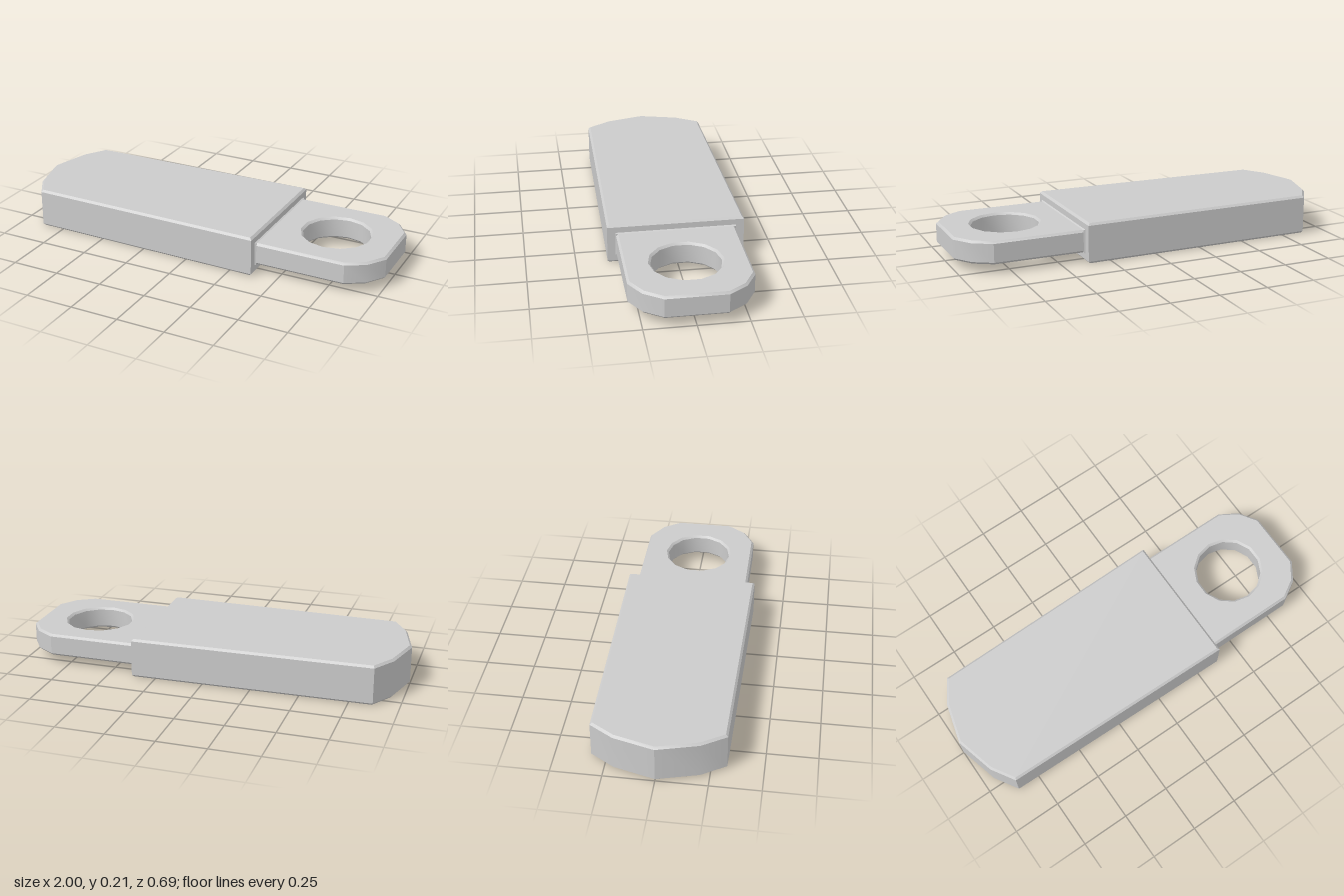
import * as THREE from 'three';
import { toCreasedNormals } from 'three/addons/utils/BufferGeometryUtils.js';

const material = new THREE.MeshStandardMaterial({ color: 0xcccccc });

// Full outline from one half, mirrored across the long axis
function mirroredShape(half) {
  const other = half.filter(([, z]) => z !== 0).map(([x, z]) => [x, -z]).reverse();
  return new THREE.Shape([...half, ...other].map(([x, z]) => new THREE.Vector2(x, z)));
}

// Flat chamfered plate lying between two heights
function plate(name, shape, y0, y1, chamfer) {
  const geometry = new THREE.ExtrudeGeometry(shape, {
    depth: y1 - y0 - 2 * chamfer,
    bevelThickness: chamfer,
    bevelSize: chamfer,
    bevelOffset: -chamfer,
    bevelSegments: 1,
  });
  geometry.rotateX(-Math.PI / 2).translate(0, y0 + chamfer, 0);
  const mesh = new THREE.Mesh(toCreasedNormals(geometry, 0.5), material);
  mesh.name = name;
  return mesh;
}

export function createModel() {
  const group = new THREE.Group();
  group.name = 'keyTag';

  // Tapered body with a faceted rounded end
  const body = mirroredShape([
    [-1, 0], [-0.945, -0.205], [-0.87, -0.325], [0.372, -0.344],
  ]);
  group.add(plate('body', body, 0, 0.206, 0.011));

  // Thinner tab with a 14-sided hole
  const tab = mirroredShape([
    [0.3, -0.3], [0.84, -0.3], [0.935, -0.243], [0.998, -0.15],
  ]);
  const hole = new THREE.Path();
  const sides = 14;
  hole.setFromPoints(Array.from({ length: sides }, (_, i) => {
    const a = Math.PI / 2 - (i / sides) * Math.PI * 2;
    return new THREE.Vector2(0.685 + 0.172 * Math.cos(a), 0.172 * Math.sin(a));
  }));
  tab.holes.push(hole);
  group.add(plate('tab', tab, 0.046, 0.162, 0.011));

  // Small flared collar where the tab enters the body
  const collarGeometry = new THREE.BoxGeometry(0.02, 0.134, 0.616);
  const p = collarGeometry.attributes.position;
  for (let i = 0; i < p.count; i++) {
    if (p.getX(i) > 0) p.setXYZ(i, 0.01, Math.sign(p.getY(i)) * 0.058, Math.sign(p.getZ(i)) * 0.3);
  }
  const collar = new THREE.Mesh(toCreasedNormals(collarGeometry, 0.5), material);
  collar.name = 'collar';
  collar.position.set(0.37, 0.104, 0);
  group.add(collar);

  return group;
}
